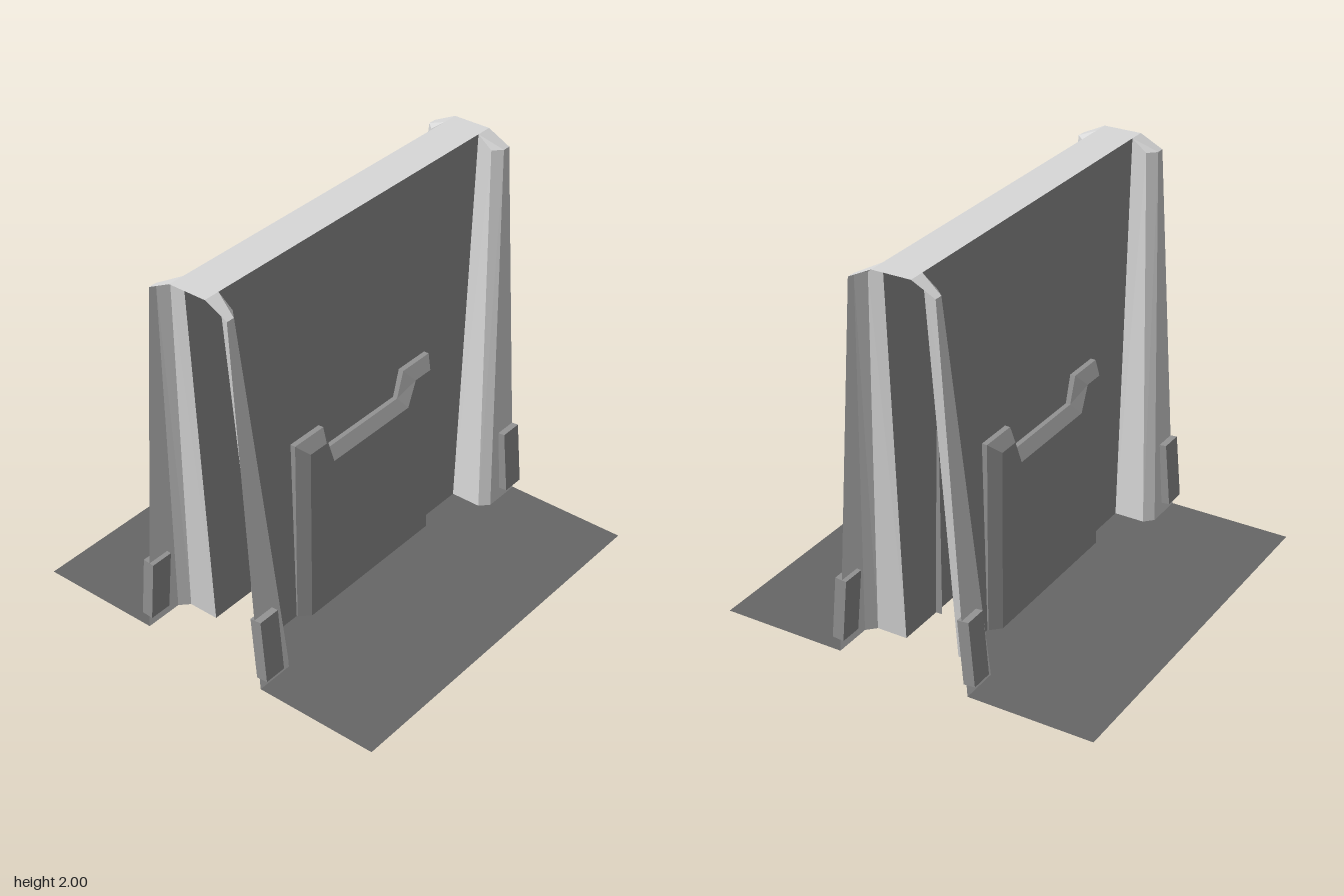
import * as THREE from 'three';

const paint = (name, color) => {
  const m = new THREE.MeshStandardMaterial({ color, side: THREE.DoubleSide });
  m.name = name;
  return m;
};

// Flat-shaded surface from a list of convex polygons (corner arrays)
function facets(polygons) {
  const out = [];
  for (const p of polygons) {
    for (let i = 1; i < p.length - 1; i++) out.push(...p[0], ...p[i], ...p[i + 1]);
  }
  const g = new THREE.BufferGeometry();
  g.setAttribute('position', new THREE.Float32BufferAttribute(out, 3));
  g.computeVertexNormals();
  return g;
}

// Mirror polygons across x, keeping them facing outward
const mirrorX = (polys) => polys.map((p) => p.map(([x, y, z]) => [-x, y, z]).reverse());

// Complete a left-half outline with its mirror image
const symmetric = (pts) => [...pts, ...pts.map(([x, y]) => [-x, y]).reverse()];

const flatShape = (pts) =>
  new THREE.ShapeGeometry(new THREE.Shape(pts.map(([x, y]) => new THREE.Vector2(x, y))));

export function createModel() {
  const light = paint('light concrete', 0xd9d9d9);
  const medium = paint('medium grey', 0x939393);
  const dark = paint('dark ground', 0x676767);

  const model = new THREE.Group();
  model.name = 'wallSection';
  const add = (parent, name, geometry, material) => {
    const mesh = new THREE.Mesh(geometry, material);
    mesh.name = name;
    parent.add(mesh);
    return mesh;
  };

  // Pillar cross-section at foot and head, from outer end round to the wall
  const foot = [[1, 0, 0.35], [0.8, 0, 0.35], [0.755, 0, 0.307], [0.755, 0, 0.145]];
  const head = [[1, 1.94, 0.22], [0.957, 1.94, 0.22], [0.915, 1.94, 0.177], [0.915, 2, 0.1]];
  const pillar = [];
  for (let i = 0; i < 3; i++) pillar.push([foot[i + 1], foot[i], head[i], head[i + 1]]);
  pillar.push([head[1], head[0], [1, 2, 0.1], head[3]]);
  pillar.push([head[2], head[1], head[3]]);

  // Door outlines: outer edge and bevelled inner edge
  const outer = symmetric([[-0.5, 0], [-0.5, 1], [-0.3, 1], [-0.255, 0.865]]);
  const inner = symmetric([[-0.45, 0], [-0.45, 0.95], [-0.335, 0.95], [-0.28, 0.82]]);
  const rim = [];
  for (let i = 0; i < outer.length - 1; i++) {
    const [p, q, a, b] = [outer[i], outer[i + 1], inner[i], inner[i + 1]];
    rim.push([[...p, 0.11], [...p, 0.15], [...q, 0.15], [...q, 0.11]]);
    rim.push([[...p, 0.15], [...a, 0.2], [...b, 0.2], [...q, 0.15]]);
  }

  // Ground outline, notched around the pillar feet
  const ground = symmetric([[-0.755, -0.145], [-0.755, -0.307], [-0.8, -0.35], [-1, -0.35], [-1, -1]]);

  for (const side of ['front', 'back']) {
    const half = new THREE.Group();
    half.name = side + 'Half';
    if (side === 'back') half.rotation.y = Math.PI;
    model.add(half);

    // Leaning wall panel
    add(half, 'wallPanel', facets([
      [[-0.755, 0, 0.145], [0.755, 0, 0.145], [0.915, 2, 0.1], [-0.915, 2, 0.1]],
    ]), medium);

    // Raised notched panel
    add(half, 'doorRim', facets(rim), medium);
    add(half, 'doorFace', flatShape(inner), medium).position.z = 0.2;

    // Tapered pillars with a plate on each foot
    add(half, 'leftPillar', facets(pillar), light);
    add(half, 'rightPillar', facets(mirrorX(pillar)), light);
    for (const s of [1, -1]) {
      const plate = add(half, 'footPlate', new THREE.BoxGeometry(0.12, 0.335, 0.06), medium);
      plate.position.set(s * 0.94, 0.23, 0.345);
      plate.rotation.x = -0.09;
    }

    // Ground sheet
    add(half, 'ground', flatShape(ground).rotateX(-Math.PI / 2), dark);
  }

  // Flat top of the wall
  add(model, 'wallTop', facets([
    [[-1, 2, 0.1], [1, 2, 0.1], [1, 2, -0.1], [-1, 2, -0.1]],
  ]), light);

  return model;
}
